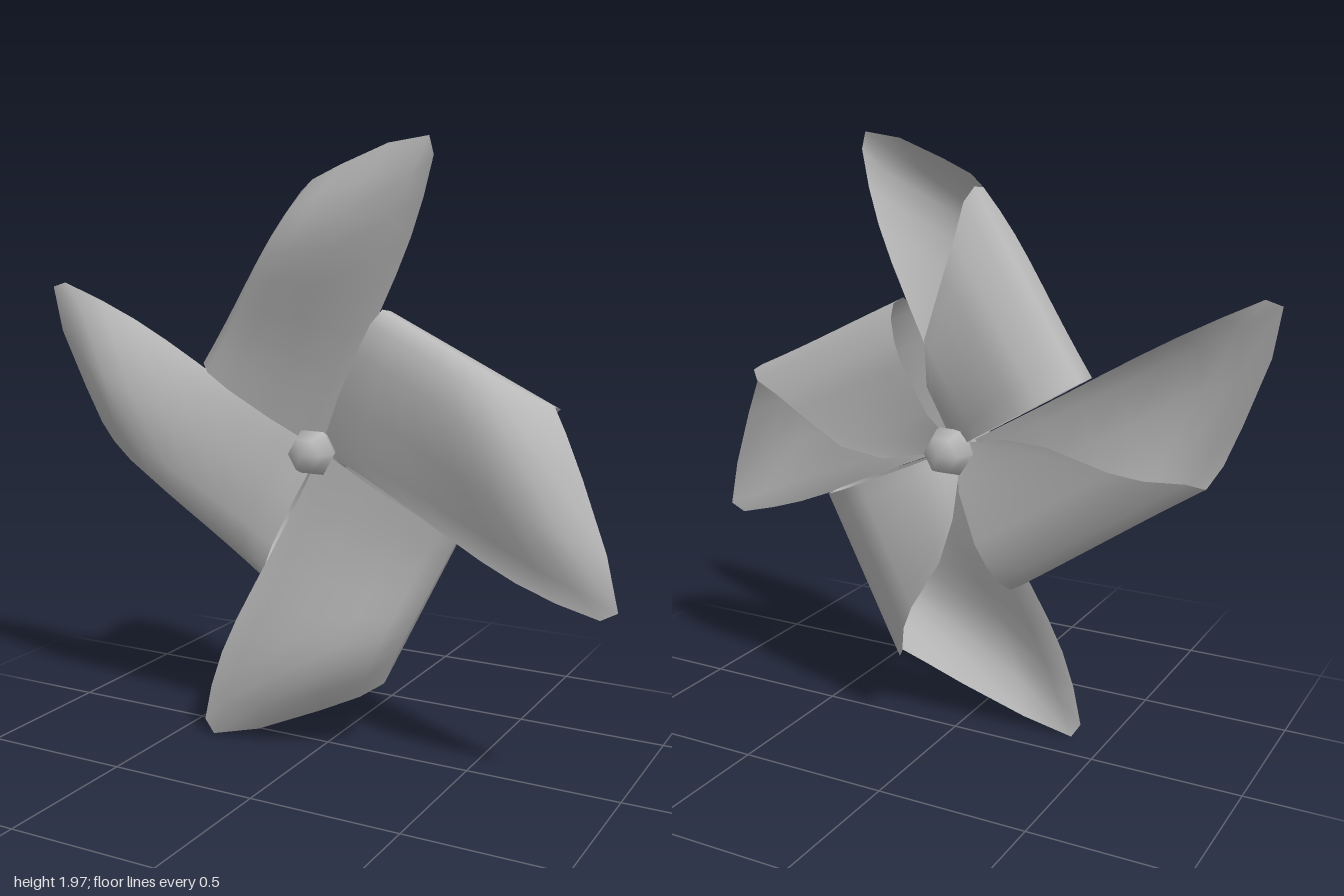
import * as THREE from 'three';

// Cross-section of a curled blade, from beside the free edge round the fold to the back of the hub:
// [distance across, outer reach along the blade, depth at inner edge, depth at outer edge, bulge]
const CURL = [
  [0.05, 1.03, 0.015, 0.115, 0.03],
  [0.2, 0.92, 0.05, 0.1, 0.085],
  [0.375, 0.75, 0.07, 0.06, 0.08],
  [0.48, 0.64, 0.06, 0.035, 0.06],
  [0.53, 0.57, 0.02, 0, 0.03],
  [0.52, 0.58, -0.05, -0.04, 0],
  [0.475, 0.56, -0.1, -0.075, 0],
  [0.4, 0.48, -0.135, -0.12, 0],
  [0.32, 0.42, -0.15, -0.145, 0],
  [0.14, 0.31, -0.125, -0.155, 0],
  [0.05, 0.2, -0.07, -0.13, 0],
  [0, 0.05, -0.03, -0.05, 0],
];
const FOLD = 0.53;
const STEPS = 8;

// tip: hub to free tip; inner and outer: sideways reach of the fold at each end;
// bow and lift: how far the free edge swells sideways and forward
const BLADES = [
  { name: 'upperBlade', tip: [0.435, 0.92], inner: [-0.435, 0.26], outer: [-0.32, 0.295], bow: 0.015, lift: -0.035 },
  { name: 'leftBlade', tip: [0.975, -0.4], inner: [0.225, 0.46], outer: [0.225, 0.42], bow: 0.03, lift: 0.03 },
  { name: 'lowerBlade', tip: [-0.385, -0.945], inner: [0.495, -0.22], outer: [0.45, -0.215], bow: 0.03, lift: 0.03 },
  { name: 'rightBlade', tip: [-0.925, 0.52], inner: [-0.205, -0.45], outer: [-0.287, -0.331], bow: 0.015, lift: -0.035 },
];

// Sheet of paper lofted along rulings between the inner and outer edges
function bladeGeometry({ tip, inner, outer, bow, lift }) {
  const positions = [];
  const indices = [];
  const rows = [[0, 1, 0, 0.12, lift], ...CURL];
  rows.forEach(([across, reach, zIn, zOut, bulge], i) => {
    for (let j = 0; j <= STEPS; j++) {
      const t = j / STEPS;
      const swell = Math.sin(Math.PI * t * t);
      const side = (across - (i === 0 ? bow * swell : 0)) / FOLD;
      const point = [0, 1].map(
        (k) => tip[k] * reach * t + side * THREE.MathUtils.lerp(inner[k], outer[k], t)
      );
      positions.push(point[0], point[1], THREE.MathUtils.lerp(zIn, zOut, t) + bulge * swell);
      if (i > 0 && j > 0) {
        const d = i * (STEPS + 1) + j;
        const b = d - STEPS - 1;
        indices.push(b - 1, b, d - 1, b, d, d - 1);
      }
    }
  });
  const geometry = new THREE.BufferGeometry();
  geometry.setAttribute('position', new THREE.Float32BufferAttribute(positions, 3));
  geometry.setIndex(indices);
  geometry.computeVertexNormals();
  return geometry;
}

export function createModel() {
  const group = new THREE.Group();
  group.name = 'pinwheel';
  const paper = new THREE.MeshStandardMaterial({ color: 0xb8b8b8, side: THREE.DoubleSide });
  paper.name = 'greyPaper';

  const wheel = new THREE.Group();
  wheel.name = 'wheel';
  wheel.position.set(-0.025, 1.0, 0);
  group.add(wheel);

  // Four curled blades
  for (const blade of BLADES) {
    const mesh = new THREE.Mesh(bladeGeometry(blade), paper);
    mesh.name = blade.name;
    wheel.add(mesh);
  }

  // Beads at the front and back of the hub, joined by a pin
  for (const [name, radius, z] of [['frontBead', 0.08, 0.06], ['backBead', 0.085, -0.085]]) {
    const mesh = new THREE.Mesh(new THREE.SphereGeometry(radius, 6, 4).rotateX(Math.PI / 2), paper);
    mesh.name = name;
    mesh.position.z = z;
    wheel.add(mesh);
  }
  const pin = new THREE.Mesh(new THREE.CylinderGeometry(0.02, 0.02, 0.14, 6).rotateX(Math.PI / 2), paper);
  pin.name = 'pin';
  pin.position.z = -0.01;
  wheel.add(pin);

  return group;
}
